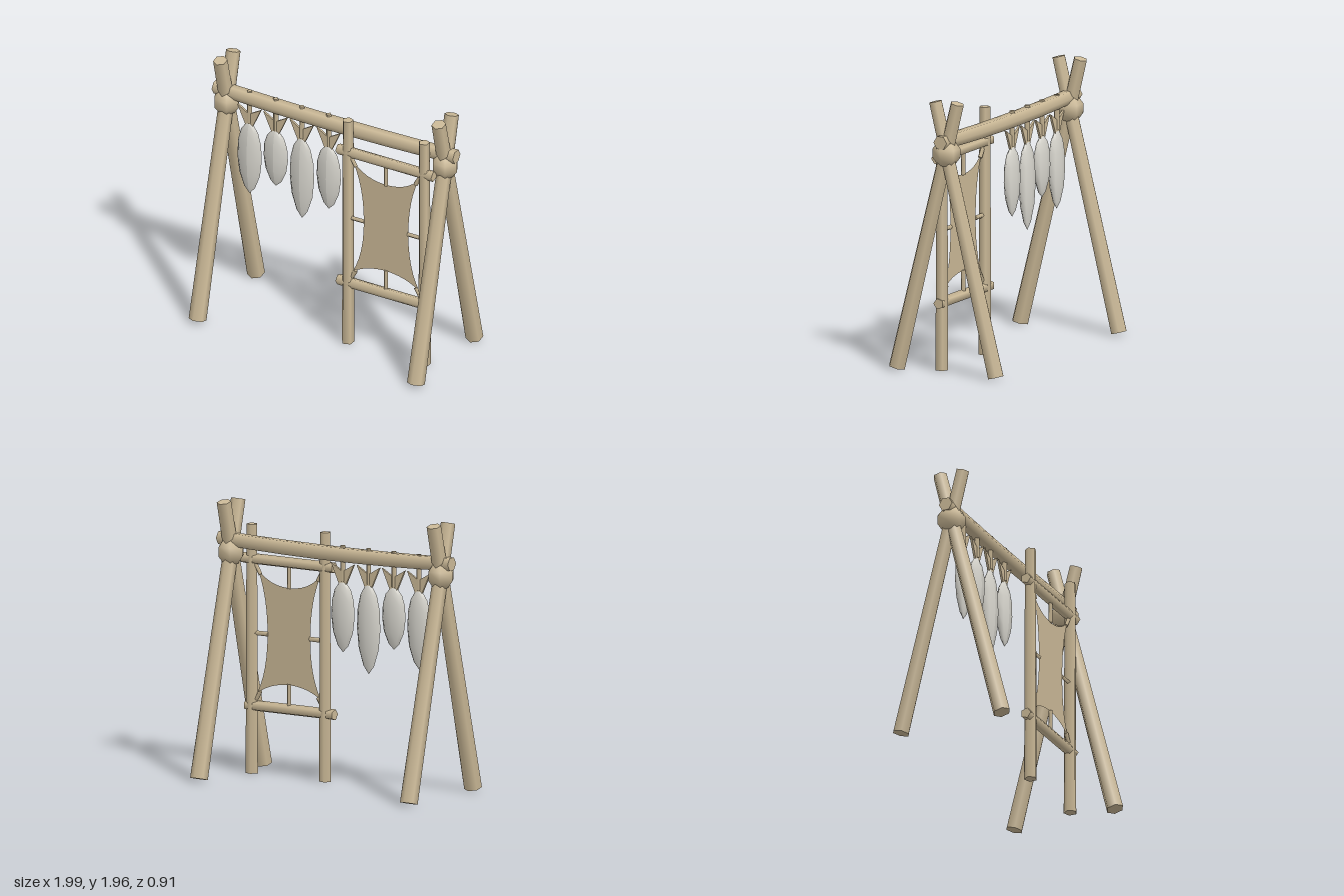
import * as THREE from 'three';

export function createModel() {
  const root = new THREE.Group();
  root.name = 'dryingRack';
  const wood = new THREE.MeshStandardMaterial({ color: 0xcbb997 });
  wood.name = 'tan wood';
  const hideMat = new THREE.MeshStandardMaterial({ color: 0xcbb997, side: THREE.DoubleSide });
  hideMat.name = 'tan hide';
  const fishMat = new THREE.MeshStandardMaterial({ color: 0xdad8d0 });
  fishMat.name = 'pale grey fish';

  const add = (name, geo, mat, parent = root) => {
    const mesh = new THREE.Mesh(geo, mat);
    mesh.name = name;
    parent.add(mesh);
    return mesh;
  };
  // Tapered pole between two points
  const pole = (name, a, b, r0, r1, sides, parent = root, start = 0) => {
    const from = new THREE.Vector3(...a), to = new THREE.Vector3(...b);
    const dir = to.clone().sub(from);
    const geo = new THREE.CylinderGeometry(r1, r0, dir.length(), sides, 1, false, start);
    const mesh = add(name, geo, wood, parent);
    mesh.position.copy(from).add(to).multiplyScalar(0.5);
    mesh.quaternion.setFromUnitVectors(new THREE.Vector3(0, 1, 0), dir.normalize());
    return mesh;
  };

  // Crossed legs and the lashing knot at each end
  for (const s of [-1, 1]) {
    const x = s * 0.897;
    for (const f of [-1, 1]) {
      pole(f > 0 ? 'frontLeg' : 'backLeg', [x, 0.015, f * 0.395], [x, 1.945, -f * 0.088], 0.063, 0.051, 6);
    }
    add('lashingKnot', new THREE.SphereGeometry(0.103, 6, 5), wood).position.set(x, 1.583, 0);
  }

  // Sagging crossbeam
  const beam = new THREE.CylinderGeometry(0.052, 0.052, 1.98, 6, 7);
  beam.rotateZ(-Math.PI / 2);
  const p = beam.attributes.position;
  for (let i = 0; i < p.count; i++) {
    const k = 1 - p.getX(i) ** 2;
    p.setY(i, p.getY(i) * (1 + 0.08 * k) + 1.672 - 0.022 * k);
    p.setZ(i, p.getZ(i) * (1 + 0.08 * k));
  }
  add('crossbeam', beam, wood);

  // Hanging fish: x position and lowest point
  const profile = [[0, 0], [0.045, 0.09], [0.085, 0.28], [0.1, 0.5], [0.094, 0.72], [0.07, 0.88], [0.03, 0.98], [0, 1]];
  const tail = new THREE.Shape([[-0.03, 1.44], [0.03, 1.44], [0.097, 1.587], [0, 1.53], [-0.097, 1.587]]
    .map(([x, y]) => new THREE.Vector2(x, y)));
  for (const [x, low] of [[-0.71, 0.895], [-0.495, 1.015], [-0.28, 0.82], [-0.06, 0.955]]) {
    const fish = new THREE.Group();
    fish.name = 'hangingFish';
    fish.position.x = x;
    root.add(fish);
    const body = new THREE.LatheGeometry(
      profile.map(([r, t]) => new THREE.Vector2(r, low + t * (1.46 - low))), 8);
    body.scale(1, 1, 0.4);
    body.computeVertexNormals();
    add('fishBody', body, fishMat, fish);
    const tailGeo = new THREE.ExtrudeGeometry(tail, { depth: 0.016, bevelEnabled: false });
    add('fishTail', tailGeo, wood, fish).position.z = -0.008;
    pole('hangingCord', [0, 1.46, 0], [0, 1.715, 0], 0.021, 0.021, 4, fish);
  }

  // Stretching frame
  const frame = new THREE.Group();
  frame.name = 'stretchingFrame';
  frame.position.z = 0.1;
  root.add(frame);
  for (const x of [0.158, 0.785]) {
    pole('framePost', [x, 0, 0], [x, 1.775, 0], 0.047, 0.041, 5, frame, -Math.PI / 2);
  }
  pole('topRail', [0.08, 1.525, 0], [0.865, 1.525, 0], 0.04, 0.04, 5, frame);
  pole('bottomRail', [0.08, 0.48, 0], [0.833, 0.48, 0], 0.04, 0.04, 5, frame);

  // Stretched hide with concave edges
  const hide = new THREE.Shape();
  hide.moveTo(0.2, 1.46);
  hide.quadraticCurveTo(0.3, 1.345, 0.47, 1.345);
  hide.quadraticCurveTo(0.64, 1.345, 0.74, 1.46);
  hide.quadraticCurveTo(0.655, 1.27, 0.655, 1);
  hide.quadraticCurveTo(0.655, 0.73, 0.745, 0.57);
  hide.quadraticCurveTo(0.64, 0.65, 0.47, 0.655);
  hide.quadraticCurveTo(0.3, 0.65, 0.195, 0.57);
  hide.quadraticCurveTo(0.29, 0.73, 0.29, 1);
  hide.quadraticCurveTo(0.29, 1.27, 0.2, 1.46);
  add('hide', new THREE.ShapeGeometry(hide, 6), hideMat, frame);

  // Ties from the hide to the frame
  const ties = [
    [0.47, 1.34, 0.47, 1.52], [0.47, 0.66, 0.47, 0.49],
    [0.295, 1, 0.17, 1], [0.65, 1, 0.775, 1],
    [0.225, 1.42, 0.165, 1.52], [0.715, 1.42, 0.775, 1.52],
    [0.225, 0.59, 0.165, 0.49], [0.715, 0.59, 0.775, 0.49],
  ];
  for (const [x0, y0, x1, y1] of ties) {
    pole('hideTie', [x0, y0, 0], [x1, y1, 0], 0.017, 0.017, 4, frame);
  }
  return root;
}
